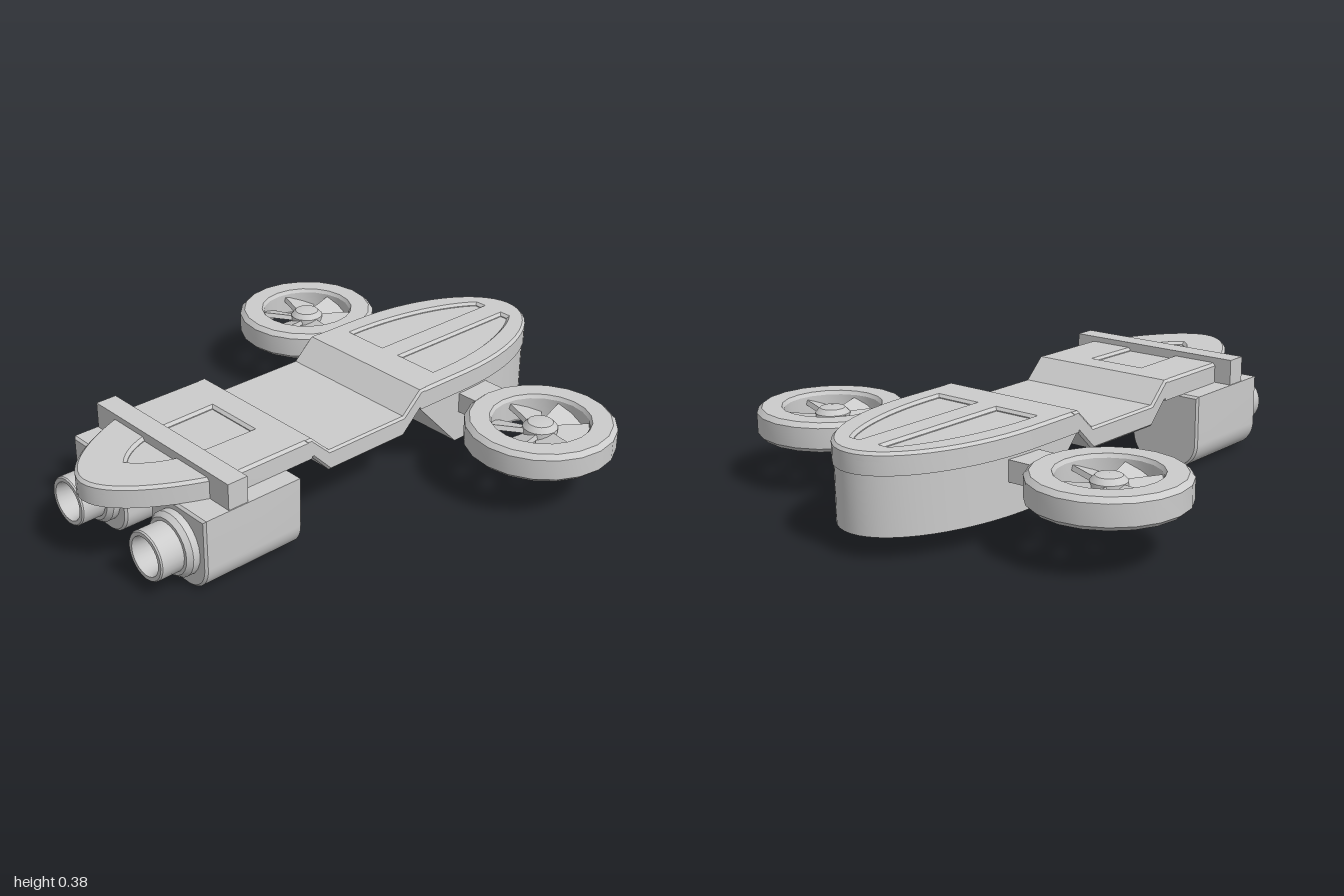
import * as THREE from 'three';
import { toCreasedNormals } from 'three/addons/utils/BufferGeometryUtils.js';

const material = new THREE.MeshStandardMaterial({ color: 0xcccccc });

function addMesh(parent, name, geometry, crease = 0.5) {
  const mesh = new THREE.Mesh(toCreasedNormals(geometry, crease), material);
  mesh.name = name;
  parent.add(mesh);
  return mesh;
}

// Extrude a plan shape (x, -z) upward between two heights
function slab(shape, y0, y1, bevel = 0) {
  const g = new THREE.ExtrudeGeometry(shape, {
    depth: y1 - y0 - 2 * bevel, curveSegments: 14, bevelEnabled: bevel > 0,
    bevelThickness: bevel, bevelSize: bevel, bevelOffset: -bevel, bevelSegments: 1,
  });
  g.rotateX(-Math.PI / 2);
  g.translate(0, y0 + bevel, 0);
  return g;
}

function lathe(points, segments) {
  return new THREE.LatheGeometry(points.map(([r, y]) => new THREE.Vector2(r, y)), segments);
}

// Plan of the rounded rear deck; w is the half width
function rearPlan(w = 0.29) {
  const s = new THREE.Shape();
  s.moveTo(-w, 0.22);
  s.lineTo(w, 0.22);
  s.lineTo(w, 0.45);
  s.absellipse(0, 0.45, w, 0.26 + w, 0, Math.PI, false);
  s.closePath();
  return s;
}

// Plan of the pointed front deck
function frontPlan() {
  const s = new THREE.Shape();
  s.moveTo(0.29, -0.285);
  s.lineTo(-0.29, -0.285);
  s.lineTo(-0.29, -0.6);
  s.bezierCurveTo(-0.25, -0.75, -0.13, -0.995, 0, -0.995);
  s.bezierCurveTo(0.13, -0.995, 0.25, -0.75, 0.29, -0.6);
  s.closePath();
  return s;
}

function buildDeck(group) {
  // Each end is a base slab under a bevelled skin with sunken panels
  const rearSkin = rearPlan();
  for (const s of [-1, 1]) {
    const panel = new THREE.Path();
    panel.moveTo(s * 0.05, 0.36);
    panel.lineTo(s * 0.21, 0.36);
    panel.bezierCurveTo(s * 0.215, 0.62, s * 0.14, 0.82, s * 0.08, 0.895);
    panel.lineTo(s * 0.05, 0.895);
    panel.closePath();
    rearSkin.holes.push(panel);
  }
  addMesh(group, 'rearDeckBase', slab(rearPlan(), 0.28, 0.342));
  addMesh(group, 'rearDeckSkin', slab(rearSkin, 0.315, 0.355, 0.01));

  const frontSkin = frontPlan();
  const panel = new THREE.Path();
  panel.moveTo(-0.105, -0.39);
  panel.lineTo(0.105, -0.39);
  panel.lineTo(0.1, -0.62);
  panel.quadraticCurveTo(0.075, -0.76, 0, -0.82);
  panel.quadraticCurveTo(-0.075, -0.76, -0.1, -0.62);
  panel.closePath();
  frontSkin.holes.push(panel);
  addMesh(group, 'frontDeckBase', slab(frontPlan(), 0.28, 0.342));
  addMesh(group, 'frontDeckSkin', slab(frontSkin, 0.315, 0.355, 0.01));

  // Sunken middle: a side profile (z, y) extruded across the width
  const profile = new THREE.Shape([
    [-0.25, 0.28], [-0.22, 0.28], [-0.14, 0.203], [0.205, 0.203], [0.28, 0.28], [0.31, 0.28],
    [0.31, 0.355], [0.285, 0.355], [0.205, 0.28], [-0.14, 0.28], [-0.22, 0.355], [-0.25, 0.355],
  ].map(([z, y]) => new THREE.Vector2(z, y)));
  const middle = new THREE.ExtrudeGeometry(profile, {
    depth: 0.564, bevelThickness: 0.008, bevelSize: 0.008, bevelOffset: -0.008, bevelSegments: 1,
  });
  middle.translate(0, 0, -0.282);
  middle.rotateY(-Math.PI / 2);
  addMesh(group, 'middleDeck', middle, 0.3);
}

// Deep hull under the rear deck, its front face raked back toward the bottom
function buildHull(group) {
  const g = slab(rearPlan(0.284), 0.08, 0.282);
  const p = g.attributes.position;
  for (let i = 0; i < p.count; i++) {
    if (p.getY(i) < 0.1 && p.getZ(i) > -0.3) p.setZ(i, -0.41);
  }
  addMesh(group, 'rearHull', g);
}

function buildRotor(side) {
  const rotor = new THREE.Group();
  rotor.name = side > 0 ? 'leftRotor' : 'rightRotor';
  rotor.position.set(side * 0.612, 0, -0.485);
  addMesh(rotor, 'rotorRim', lathe([
    [0.17, 0.19], [0.178, 0.176], [0.248, 0.176], [0.265, 0.192], [0.265, 0.265],
    [0.248, 0.281], [0.178, 0.281], [0.17, 0.268], [0.17, 0.19],
  ], 20));
  addMesh(rotor, 'rotorHub', lathe([
    [0, 0.178], [0.03, 0.195], [0.062, 0.205], [0.062, 0.25], [0.045, 0.268], [0, 0.276],
  ], 16));
  // Tapered, pitched blades
  const outline = new THREE.Shape([[0.04, -0.03], [0.178, -0.068], [0.178, 0.068], [0.04, 0.03]]
    .map(([x, y]) => new THREE.Vector2(x, y)));
  for (let i = 0; i < 6; i++) {
    const blade = new THREE.ExtrudeGeometry(outline, { depth: 0.018, bevelEnabled: false });
    blade.translate(0, 0, -0.009);
    blade.rotateX(-Math.PI / 2 + 0.35);
    const mesh = addMesh(rotor, 'rotorBlade', blade);
    mesh.position.y = 0.228;
    mesh.rotation.y = Math.PI / 6 + i * Math.PI / 3;
  }
  return rotor;
}

function buildEngine(side) {
  const engine = new THREE.Group();
  engine.name = side > 0 ? 'leftEngine' : 'rightEngine';
  engine.position.x = side * 0.216;
  // Housing: square on top, rounded underneath
  const w = 0.143, r = 0.1, s = new THREE.Shape();
  s.moveTo(-w, 0.281);
  s.lineTo(-w, r);
  s.absarc(-w + r, r, r, Math.PI, Math.PI * 1.5, false);
  s.absarc(w - r, r, r, Math.PI * 1.5, Math.PI * 2, false);
  s.lineTo(w, 0.281);
  s.closePath();
  const housing = new THREE.ExtrudeGeometry(s, {
    depth: 0.384, curveSegments: 8, bevelThickness: 0.008, bevelSize: 0.008,
    bevelOffset: -0.008, bevelSegments: 1,
  });
  housing.translate(0, 0, 0.398);
  addMesh(engine, 'engineHousing', housing);
  // Stepped collar and hollow nozzle
  const nozzle = lathe([
    [0.114, 0.77], [0.114, 0.815], [0.1, 0.832], [0.088, 0.832], [0.088, 0.915],
    [0.084, 0.92], [0.07, 0.92], [0.064, 0.905], [0.05, 0.82], [0, 0.82],
  ], 24);
  nozzle.rotateX(Math.PI / 2);
  nozzle.translate(0, 0.142, 0);
  addMesh(engine, 'engineNozzle', nozzle);
  return engine;
}

export function createModel() {
  const model = new THREE.Group();
  model.name = 'hoverCraft';
  buildDeck(model);
  buildHull(model);

  // Bar across the front deck, tying the engines together
  const bar = addMesh(model, 'crossBar', new THREE.BoxGeometry(0.71, 0.095, 0.078));
  bar.position.set(0, 0.3275, 0.651);

  for (const side of [-1, 1]) {
    model.add(buildEngine(side), buildRotor(side));
    const strut = addMesh(model, side > 0 ? 'leftStrut' : 'rightStrut',
      new THREE.BoxGeometry(0.13, 0.075, 0.145));
    strut.position.set(side * 0.32, 0.232, -0.495);
  }
  return model;
}
